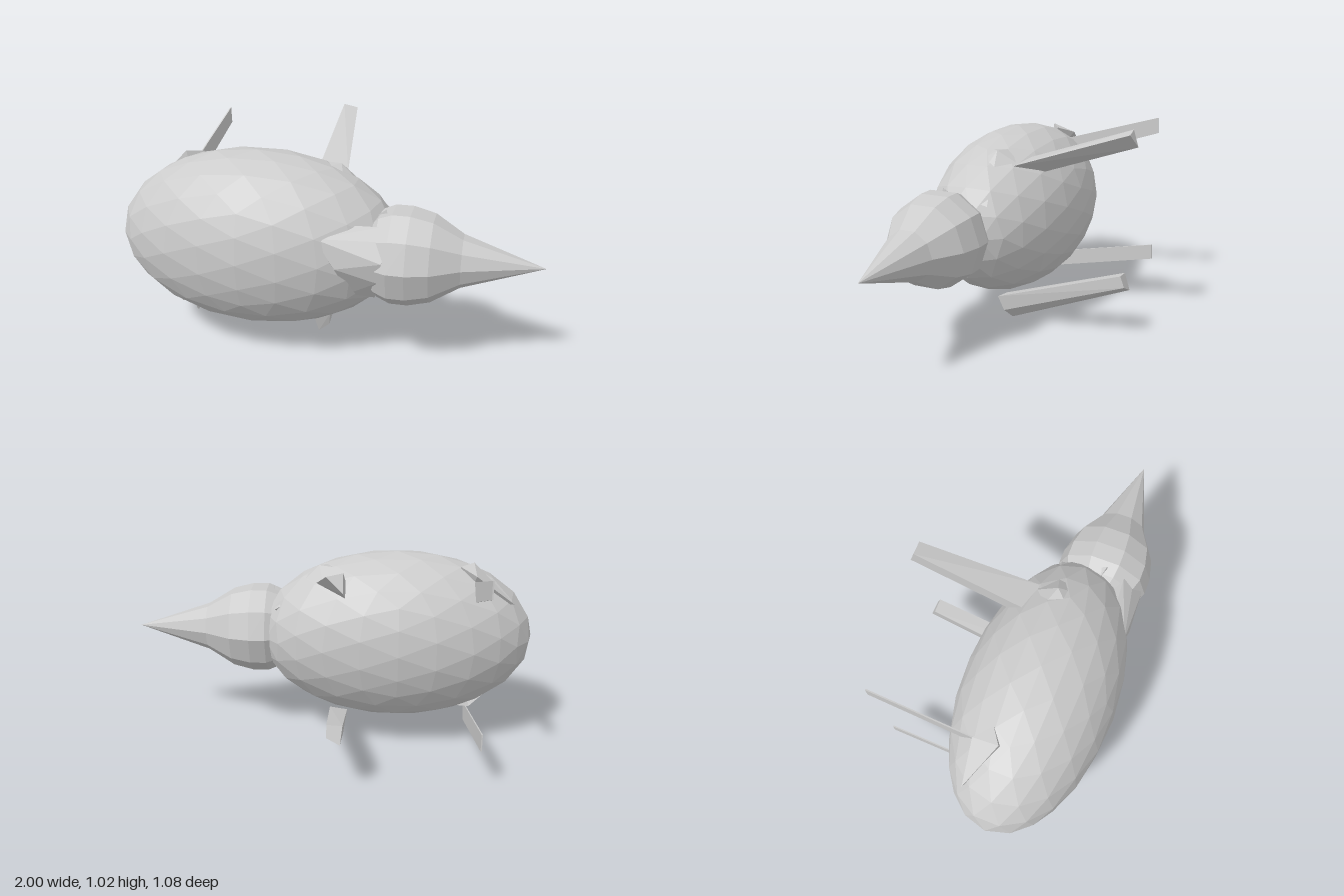
import * as THREE from 'three';
import { ConvexGeometry } from 'three/addons/geometries/ConvexGeometry.js';

const material = new THREE.MeshStandardMaterial({ color: 0xcccccc, flatShading: true });

export function createModel() {
  const model = new THREE.Group();

  const add = (name, geometry) => {
    const mesh = new THREE.Mesh(geometry, material);
    mesh.name = name;
    model.add(mesh);
    return mesh;
  };
  // Faceted solid wrapped around a few corner points
  const hull = (name, points) =>
    add(name, new ConvexGeometry(points.map((p) => new THREE.Vector3(...p))));
  // Thin blade lying in a plane of constant x, outline given as [z, y]
  const blade = (name, x, outline) =>
    hull(name, [-0.003, 0.003].flatMap((d) => outline.map(([z, y]) => [x + d, y, z])));

  // Body: faceted ellipsoid
  const body = add('body', new THREE.IcosahedronGeometry(1, 3));
  body.scale.set(0.68, 0.422, 0.365);
  body.position.set(-0.32, 0.531, 0.175);

  // Head: faceted lathe drawn out to a pointed snout along +x
  const profile = [[0, 0.18], [0.12, 0.2], [0.2, 0.27], [0.225, 0.33], [0.225, 0.41],
    [0.2, 0.51], [0.12, 0.64], [0, 1]].map(([r, x]) => new THREE.Vector2(r, x));
  const head = add('head', new THREE.LatheGeometry(profile, 10));
  head.rotation.z = -Math.PI / 2;
  head.position.set(0, 0.53, 0.25);

  // Neck: angular crest bridging body and head
  hull('neckCrest', [
    [0.02, 0.66, 0.46], [0.11, 0.53, 0.47], [0.15, 0.70, 0.37], [0.29, 0.70, 0.36],
    [0.35, 0.65, 0.40], [0.31, 0.57, 0.46], [0.15, 0.37, 0.37], [0.27, 0.36, 0.36],
    [0.29, 0.47, 0.44], [0.2, 0.53, 0.2],
  ]);

  // Ears: small slivers on both sides of the head
  for (const side of [1, -1]) {
    hull(side > 0 ? 'upperEar' : 'lowerEar', [
      [0.24, 0.17, 0.25], [0.30, 0.22, 0.27], [0.29, 0.16, 0.19], [0.31, 0.16, 0.28],
    ].map(([x, y, z]) => [x, 0.53 + side * y, z]));
  }

  // Shoulder and hips where the legs join the body
  hull('shoulder', [
    [-0.03, 0.89, 0.08], [0.04, 0.84, 0.02], [0.06, 0.895, 0.11], [0.0, 0.89, 0.17],
    [0.10, 0.82, 0.235], [0.28, 0.68, 0.055], [0.28, 0.705, 0.17], [0.05, 0.65, 0.15],
  ]);
  hull('upperHip', [
    [-0.88, 0.73, 0.03], [-0.69, 0.87, 0.01], [-0.62, 0.90, 0.08], [-0.69, 0.91, 0.13],
    [-0.65, 0.7, 0.15],
  ]);
  hull('lowerHip', [
    [-0.88, 0.31, 0.15], [-0.68, 0.14, 0.17], [-0.58, 0.14, 0.17], [-0.69, 0.2, 0.02],
    [-0.69, 0.2, 0.3], [-0.65, 0.4, 0.17],
  ]);

  // Front legs: tapered prisms
  hull('upperFrontLeg', [
    [-0.07, 0.84, 0.02], [0.07, 0.83, 0.02], [-0.07, 0.77, -0.04],
    [-0.07, 1.02, -0.515], [0.0, 1.005, -0.52], [-0.07, 0.94, -0.54],
  ]);
  hull('lowerFrontLeg', [
    [-0.08, 0.12, 0.13], [-0.06, 0, 0.09], [0, 0.055, 0.11], [0.01, 0.13, 0.14],
    [-0.07, 0.33, -0.5], [-0.06, 0.25, -0.53], [0, 0.28, -0.52], [0, 0.335, -0.5],
  ]);

  // Rear legs: thin blades
  blade('upperRearLeg', -0.685, [[0.06, 0.83], [0.02, 0.74], [-0.465, 0.90], [-0.46, 0.98]]);
  blade('lowerRearLeg', -0.685, [[0.18, 0.15], [0.14, 0.07], [-0.465, 0.20], [-0.46, 0.28]]);

  return model;
}
